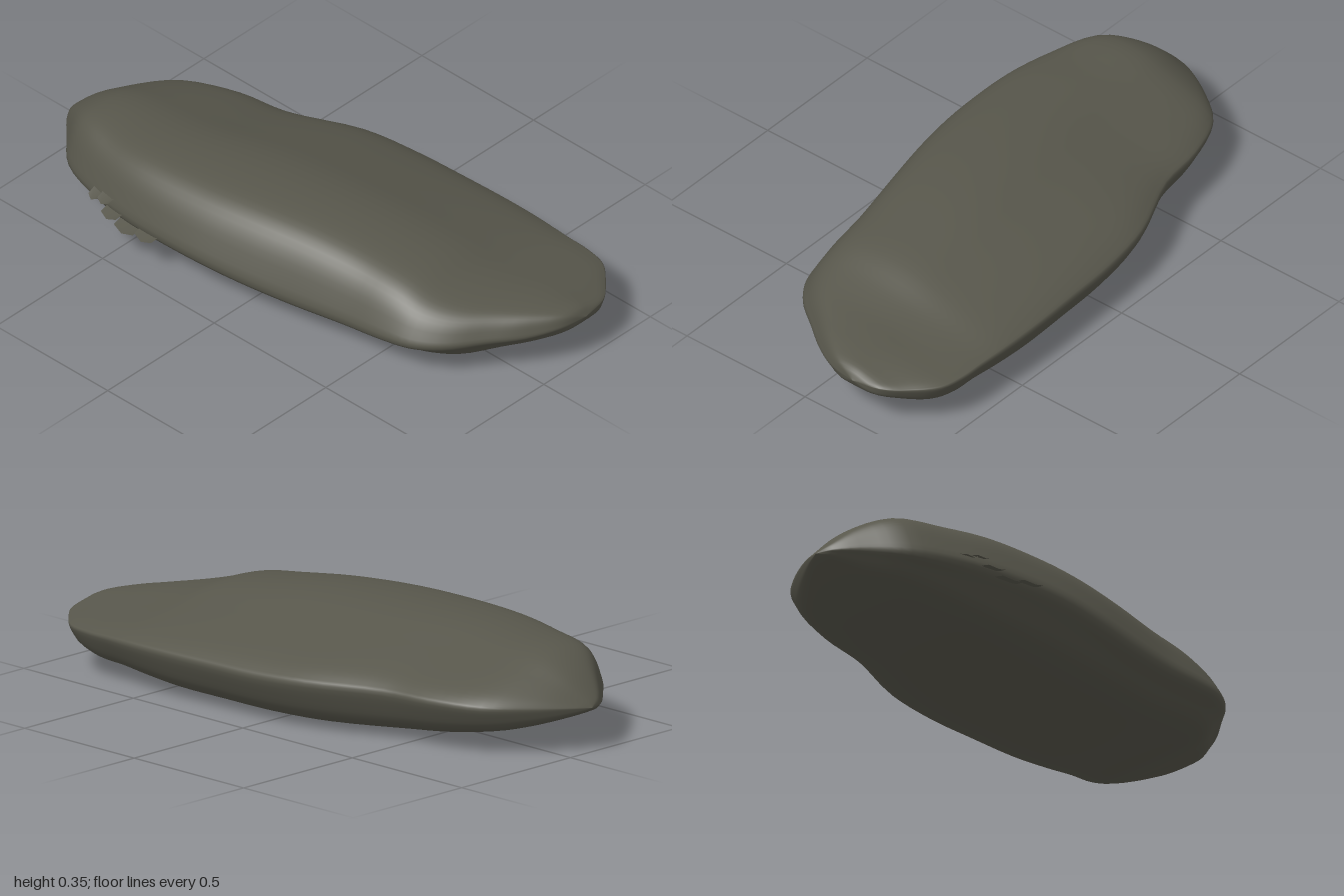
import * as THREE from 'three';

// Stations along the stone: x, back z, front z, bottom y, front edge y, back edge y, top y
const STATIONS = [
  [-1.0, 0.1, 0.1, 0.15, 0.15, 0.15, 0.15],
  [-0.98, 0.04, 0.16, 0.135, 0.15, 0.155, 0.175],
  [-0.9, -0.1, 0.25, 0.1, 0.15, 0.16, 0.25],
  [-0.8, -0.215, 0.345, 0.07, 0.14, 0.165, 0.302],
  [-0.63, -0.285, 0.405, 0.038, 0.14, 0.17, 0.315],
  [-0.45, -0.315, 0.43, 0.015, 0.14, 0.17, 0.332],
  [-0.2, -0.42, 0.43, 0.005, 0.14, 0.17, 0.345],
  [0.0, -0.455, 0.405, 0.003, 0.13, 0.165, 0.349],
  [0.2, -0.467, 0.365, 0.007, 0.12, 0.165, 0.342],
  [0.4, -0.475, 0.325, 0.012, 0.12, 0.165, 0.32],
  [0.55, -0.474, 0.305, 0.025, 0.125, 0.165, 0.298],
  [0.66, -0.468, 0.28, 0.037, 0.13, 0.165, 0.262],
  [0.75, -0.465, 0.22, 0.045, 0.135, 0.165, 0.24],
  [0.84, -0.445, 0.11, 0.075, 0.145, 0.165, 0.228],
  [0.92, -0.375, 0.005, 0.105, 0.15, 0.165, 0.217],
  [0.98, -0.3, -0.1, 0.135, 0.165, 0.17, 0.2],
  [1.0, -0.2, -0.2, 0.17, 0.17, 0.17, 0.17],
];

// Section profile: [position from front to back, fraction of the height above / below the edge]
const TOP = [[0, 0], [0.025, 0.32], [0.07, 0.66], [0.13, 0.88], [0.22, 0.98], [0.36, 1],
  [0.5, 0.92], [0.65, 0.72], [0.8, 0.5], [0.91, 0.31], [0.975, 0.14]];
const BOTTOM = [[1, 0], [0.97, 0.35], [0.93, 0.66], [0.87, 0.85], [0.75, 0.97], [0.5, 1],
  [0.3, 0.97], [0.19, 0.89], [0.12, 0.72], [0.06, 0.38]];

function sectionPoints([x, back, front, low, frontEdge, backEdge, high]) {
  const place = (target) => ([u, h]) => {
    const edge = THREE.MathUtils.lerp(frontEdge, backEdge, u);
    return new THREE.Vector3(x, edge + (target - edge) * h, THREE.MathUtils.lerp(front, back, u));
  };
  return [...TOP.map(place(high)), ...BOTTOM.map(place(low))];
}

function stoneGeometry() {
  const rows = (STATIONS.length - 1) * 4, sides = 64;
  const sections = STATIONS.map(sectionPoints);
  // Smooth each profile point lengthwise, then smooth around every ring
  const rails = sections[0].map((_, i) => new THREE.CatmullRomCurve3(sections.map((s) => s[i])));
  const positions = [], index = [];
  for (let r = 0; r <= rows; r++) {
    const ring = new THREE.CatmullRomCurve3(rails.map((c) => c.getPoint(r / rows)), true, 'catmullrom', 0.5);
    for (let k = 0; k < sides; k++) {
      const p = ring.getPoint(k / sides);
      positions.push(p.x, p.y, p.z);
      if (r === rows) continue;
      const a = r * sides + k, b = r * sides + (k + 1) % sides;
      index.push(a, a + sides, b, b, a + sides, b + sides);
    }
  }
  const geometry = new THREE.BufferGeometry();
  geometry.setAttribute('position', new THREE.Float32BufferAttribute(positions, 3));
  geometry.setIndex(index);
  geometry.computeVertexNormals();
  return geometry;
}

// Thin ragged flake rooted in the front edge
function flakeGeometry(x, y, width, reach) {
  const root = 0.395, tip = reach;
  const pts = [
    [x - width / 2, y + 0.012, root], [x - width * 0.45, y, tip - 0.012],
    [x, y - 0.008, tip], [x + width * 0.45, y + 0.004, tip - 0.006],
    [x + width / 2, y + 0.015, root],
  ];
  const geometry = new THREE.BufferGeometry();
  geometry.setAttribute('position', new THREE.Float32BufferAttribute(pts.flat(), 3));
  geometry.setIndex([0, 1, 2, 0, 2, 4, 2, 3, 4]);
  geometry.computeVertexNormals();
  return geometry;
}

export function createModel() {
  const model = new THREE.Group();
  model.name = 'flatStone';
  const stone = new THREE.MeshStandardMaterial({ color: 0x57564b });
  stone.name = 'stone grey';
  stone.side = THREE.DoubleSide;

  const body = new THREE.Mesh(stoneGeometry(), stone);
  body.name = 'stoneBody';
  model.add(body);

  // Chipped flakes along the front: x, y, width, reach in z
  const flakes = new THREE.Group();
  flakes.name = 'chippedFlakes';
  [[-0.61, 0.16, 0.05, 0.44], [-0.52, 0.14, 0.08, 0.462], [-0.45, 0.12, 0.1, 0.465],
    [-0.36, 0.135, 0.09, 0.468], [-0.56, 0.17, 0.06, 0.445]].forEach((f) => {
    const flake = new THREE.Mesh(flakeGeometry(...f), stone);
    flake.name = 'flake';
    flakes.add(flake);
  });
  model.add(flakes);
  return model;
}
